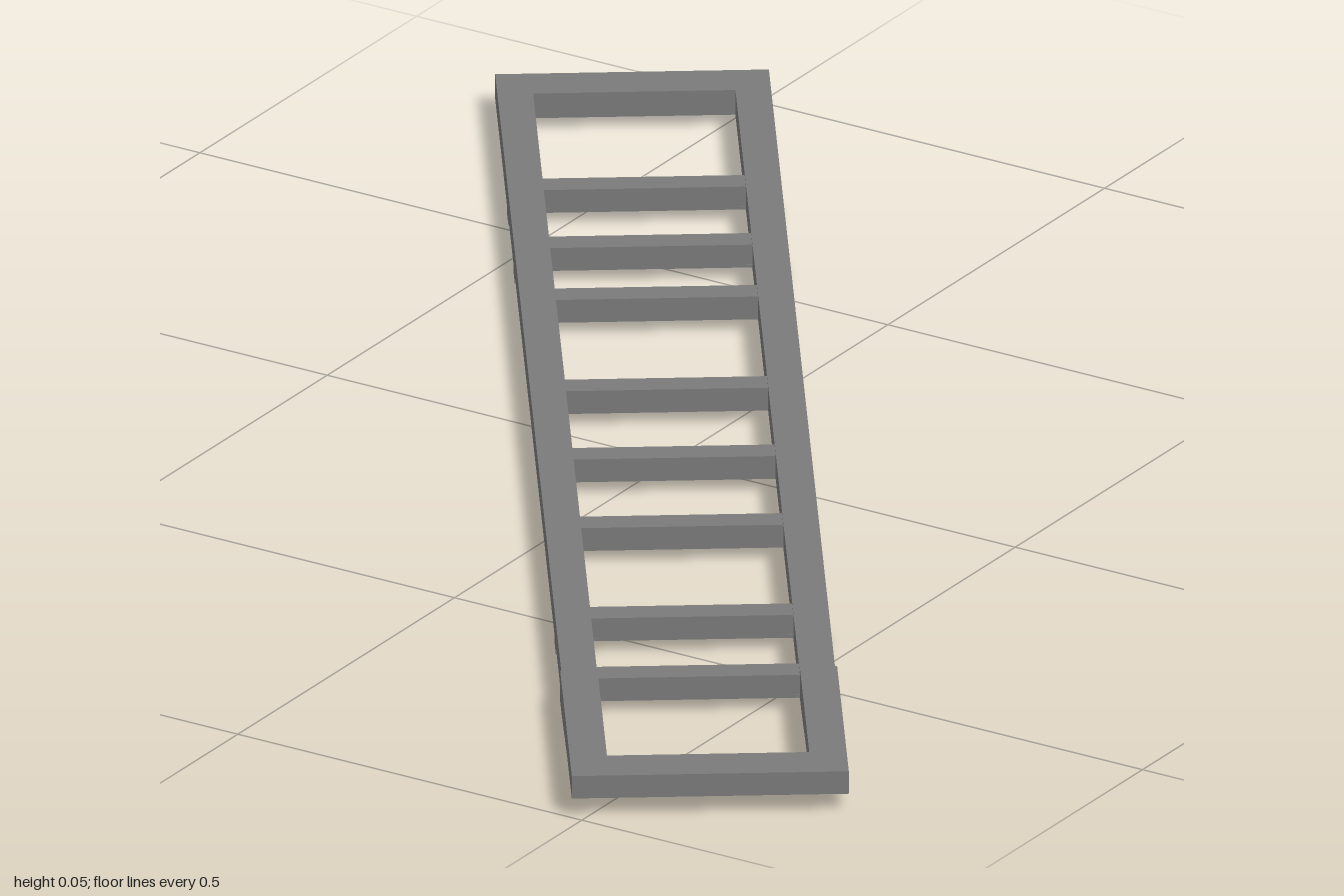
import * as THREE from 'three';

const material = new THREE.MeshStandardMaterial({ color: 0x7a7a7a, flatShading: true });

// Side profile given as [z, y] points, extruded across x and centred on the given x
function sideProfile(name, points, width, x) {
  const shape = new THREE.Shape(points.map(([z, y]) => new THREE.Vector2(z, y)));
  const geometry = new THREE.ExtrudeGeometry(shape, { depth: width, bevelEnabled: false });
  geometry.translate(0, 0, -width / 2);
  geometry.rotateY(-Math.PI / 2);
  const mesh = new THREE.Mesh(geometry, material);
  mesh.name = name;
  mesh.position.x = x;
  return mesh;
}

// Hanger under a rail: upright outside, tapering towards the inside
function hanger(name, side, z) {
  const points = [[0.168, 0], [0.168, 0.02], [0.118, 0.02], [0.144, 0]];
  const shape = new THREE.Shape(points.map(([x, y]) => new THREE.Vector2(side * x, y)));
  const geometry = new THREE.ExtrudeGeometry(shape, { depth: 0.04, bevelEnabled: false });
  const mesh = new THREE.Mesh(geometry, material);
  mesh.name = name;
  mesh.position.z = z - 0.02;
  return mesh;
}

function bar(name, width, y0, y1, z0, z1) {
  const mesh = new THREE.Mesh(new THREE.BoxGeometry(width, y1 - y0, z1 - z0), material);
  mesh.name = name;
  mesh.position.set(0, (y0 + y1) / 2, (z0 + z1) / 2);
  return mesh;
}

export function createModel() {
  const model = new THREE.Group();
  model.name = 'ladderFrame';
  const frame = new THREE.Group();
  frame.name = 'frame';
  // The frame lies diagonally on the ground
  frame.rotation.y = 0.606;
  model.add(frame);

  const end = 1.097, railX = 0.1465, railWidth = 0.044;

  for (const side of [-1, 1]) {
    const label = side > 0 ? 'left' : 'right';

    // Main rail, rising underneath towards the front
    frame.add(sideProfile(label + 'Rail', [
      [-end, 0.015], [0.81, 0.015], [0.97, 0.026], [end - 0.002, 0.026],
      [end - 0.002, 0.048], [-end, 0.048],
    ], railWidth, side * railX));

    // Raised sleeve over the front of the rail
    frame.add(sideProfile(label + 'FrontSleeve', [
      [0.77, 0.0145], [0.81, 0.0145], [0.97, 0.025], [end, 0.025], [end, 0.055], [0.77, 0.055],
    ], railWidth + 0.002, side * (railX + 0.001)));

    for (const z of [-0.758, -0.578, 0.571, 0.757]) {
      frame.add(hanger(label + 'Hanger', side, z));
    }
  }

  // Rungs between the rails
  for (const z of [-0.758, -0.578, -0.417, -0.134, 0.078, 0.291, 0.571, 0.757]) {
    frame.add(bar('crossMember', 0.26, 0.0155, 0.046, z - 0.018, z + 0.018));
  }

  // End bars between the rails
  const inner = 2 * railX - railWidth;
  frame.add(bar('rearBar', inner, 0.015, 0.048, -end, -end + 0.062));
  frame.add(bar('frontBar', inner, 0.025, 0.055, end - 0.062, end));

  return model;
}
